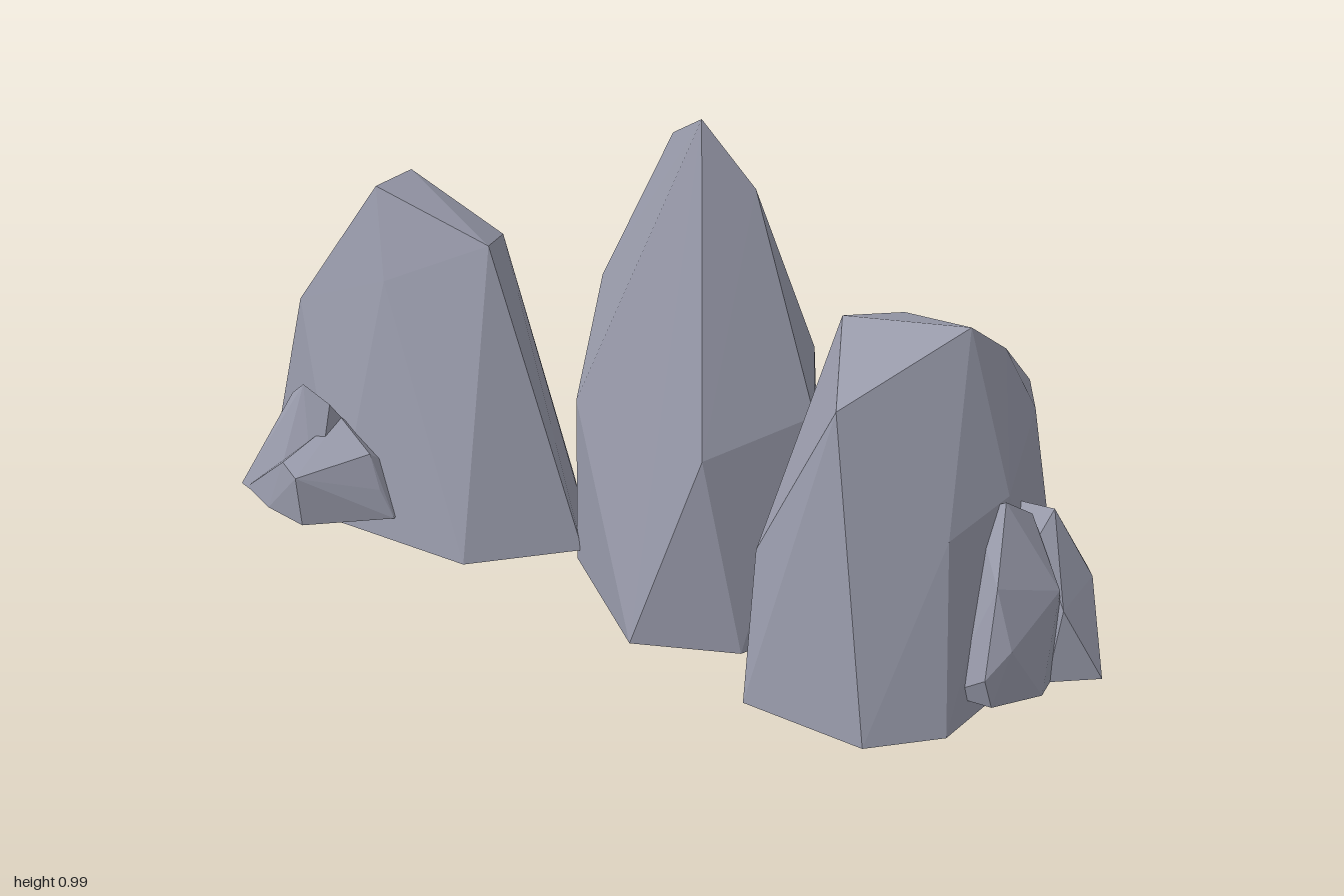
import * as THREE from 'three';
import { ConvexGeometry } from 'three/addons/geometries/ConvexGeometry.js';

const stone = new THREE.MeshStandardMaterial({ color: 0x989aaa, flatShading: true });
stone.name = 'stone grey';

// Faceted boulder: a flat footprint [x, z] at height baseY plus upper corners [x, y, z].
function rock(name, baseY, footprint, corners) {
  const points = [
    ...footprint.map(([x, z]) => new THREE.Vector3(x, baseY, z)),
    ...corners.map(([x, y, z]) => new THREE.Vector3(x, y, z)),
  ];
  const mesh = new THREE.Mesh(new ConvexGeometry(points), stone);
  mesh.name = name;
  return mesh;
}

export function createModel() {
  const group = new THREE.Group();
  group.name = 'rockCluster';

  // Broad boulder on the -x side
  group.add(rock('broadRock', 0.03,
    [[-1, -0.1], [-0.92, 0.11], [-0.6, 0.27], [-0.27, 0.27], [-0.1, 0.09], [-0.22, -0.08], [-0.3, -0.17], [-0.48, -0.25], [-0.88, -0.24]],
    [
      [-0.6, 0.725, 0.09], [-0.62, 0.715, -0.05], [-0.34, 0.64, 0.06], [-0.4, 0.61, -0.07],
      [-0.54, 0.55, 0.152], [-0.8, 0.44, 0.12], [-0.88, 0.41, -0.11], [-0.97, 0.24, -0.09],
      [-0.52, 0.33, -0.2], [-0.82, 0.3, -0.21],
    ]));

  // Tall pointed boulder in the middle
  group.add(rock('tallRock', 0,
    [[0.15, 0.295], [0.35, 0.21], [0.42, 0.04], [0.26, -0.27], [0.02, -0.36], [-0.19, -0.32], [-0.23, -0.1], [-0.12, 0.08]],
    [
      [0.145, 0.99, 0.04], [-0.03, 0.88, -0.14], [0.01, 0.83, -0.2], [0.24, 0.86, 0],
      [-0.2, 0.54, -0.14], [-0.2, 0.46, -0.23], [0.13, 0.46, -0.3], [0.31, 0.51, -0.12],
      [0.4, 0.45, 0.04], [0.27, 0.4, 0.23], [-0.11, 0.37, 0.09],
    ]));

  // Deep boulder on the +x side
  group.add(rock('deepRock', 0.03,
    [[0.46, -0.4], [0.76, -0.3], [0.84, -0.17], [0.85, 0.02], [0.82, 0.29], [0.71, 0.4], [0.46, 0.39], [0.36, 0.1], [0.34, -0.14]],
    [
      [0.7, 0.7, 0.025], [0.58, 0.615, 0.3], [0.43, 0.65, 0], [0.47, 0.6, -0.18],
      [0.72, 0.62, -0.09], [0.75, 0.47, -0.18], [0.47, 0.48, -0.29], [0.69, 0.47, -0.29],
      [0.39, 0.43, -0.02], [0.44, 0.31, 0.32], [0.81, 0.41, 0.06], [0.77, 0.38, 0.22],
      [0.36, 0.27, -0.14],
    ]));

  // Small stone leaning on the front of the broad boulder: a peak and a lower shoulder
  group.add(rock('smallFrontRockPeak', 0.08,
    [[-0.82, 0.32], [-0.7, 0.36], [-0.6, 0.34], [-0.6, 0.1], [-0.82, 0.1]],
    [[-0.73, 0.285, 0.24], [-0.68, 0.325, 0.26], [-0.62, 0.29, 0.25]]));
  group.add(rock('smallFrontRockShoulder', 0.08,
    [[-0.8, 0.325], [-0.7, 0.37], [-0.59, 0.39], [-0.45, 0.265], [-0.5, 0.1], [-0.7, 0.1]],
    [
      [-0.65, 0.2, 0.37], [-0.6, 0.185, 0.39], [-0.51, 0.21, 0.26],
      [-0.48, 0.14, 0.27], [-0.62, 0.25, 0.22],
    ]));

  // Pair of small stones against the +x side of the deep boulder
  group.add(rock('smallSideRockFront', 0.07,
    [[0.78, 0.22], [0.87, 0.215], [0.93, 0.13], [0.92, 0.04], [0.78, -0.02]],
    [
      [0.815, 0.41, 0.085], [0.85, 0.29, 0.18], [0.89, 0.18, 0.19], [0.84, 0.365, 0.02],
      [0.86, 0.13, 0.23], [0.92, 0.25, 0.06], [0.76, 0.38, 0.09],
    ]));
  group.add(rock('smallSideRockBack', 0.07,
    [[0.78, -0.16], [0.89, -0.165], [1, 0.02], [0.92, 0.085], [0.78, 0.08]],
    [
      [0.87, 0.37, -0.01], [0.94, 0.235, -0.045], [0.89, 0.19, -0.15],
      [0.86, 0.33, 0.03], [0.93, 0.21, 0.06], [0.77, 0.365, -0.01],
    ]));

  return group;
}
